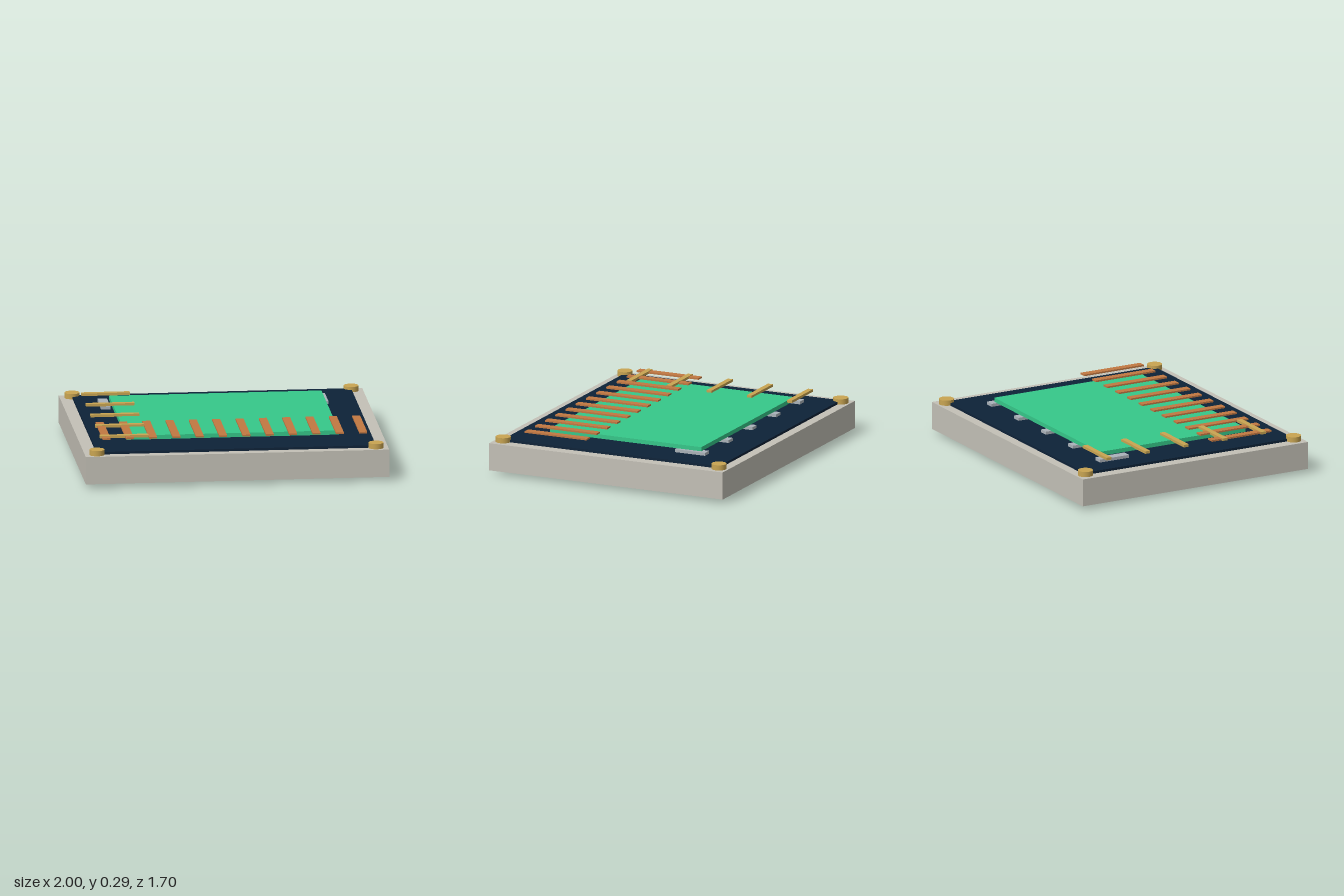
import * as THREE from 'three';

const mat = (name, color) => Object.assign(new THREE.MeshStandardMaterial({ color }), { name });

export function createModel() {
  const root = new THREE.Group();
  root.name = 'chipPackage';
  const stone = mat('warmGrey', 0xc4c1b7), navy = mat('navy', 0x0d2238), green = mat('green', 0x36c88a);
  const copper = mat('copper', 0xc27842), gold = mat('gold', 0xc9a552);
  const silver = mat('silver', 0xabb3ba), teal = mat('teal', 0x2aa9bd);

  const add = (name, geo, material, x, y, z, parent = root) => {
    const m = new THREE.Mesh(geo, material);
    m.name = name;
    m.position.set(x, y, z);
    parent.add(m);
    return m;
  };
  // box given by its x, y and z ranges
  const box = (name, material, x0, x1, y0, y1, z0, z1, parent) =>
    add(name, new THREE.BoxGeometry(x1 - x0, y1 - y0, z1 - z0), material,
      (x0 + x1) / 2, (y0 + y1) / 2, (z0 + z1) / 2, parent);
  const group = (name) => {
    const g = new THREE.Group();
    g.name = name;
    root.add(g);
    return g;
  };

  // stacked slabs
  box('base', stone, -1, 1, 0.026, 0.21, -0.85, 0.85);
  box('board', navy, -0.92, 0.92, 0.21, 0.226, -0.785, 0.785);
  box('die', green, -0.7, 0.7, 0.246, 0.274, -0.55, 0.55);

  // corner posts
  const postGeo = new THREE.CylinderGeometry(0.05, 0.05, 0.035, 20);
  for (const x of [-0.92, 0.92]) for (const z of [-0.785, 0.785])
    add('cornerPost', postGeo, gold, x, 0.2275, z);

  // spacers under the rear of the die
  const spacers = group('spacers');
  for (let i = 0; i < 5; i++) {
    const x = -0.74 + i * 0.359;
    box('spacer', silver, x - 0.031, x + 0.031, 0.226, 0.246, -0.59, -0.37, spacers);
  }

  // copper strips along the front
  const strips = group('copperStrips');
  for (let i = 0; i < 12; i++) {
    const x = -0.842 + i * 0.1538;
    box('copperStrip', copper, x - 0.026, x + 0.026, 0.274, 0.285, 0.2, 0.65, strips);
  }

  // gold strips along the right side
  const bars = group('goldStrips');
  for (let i = 0; i < 5; i++) {
    const z = -0.584 + i * 0.2915;
    box('goldStrip', gold, -0.88, -0.56, 0.272, 0.289, z - 0.018, z + 0.018, bars);
  }

  // contact pins: an outer ring, a gap, then an inner field
  const pins = group('pins');
  const pinGeo = new THREE.CylinderGeometry(0.019, 0.019, 0.026, 12);
  for (let c = 0; c < 13; c++) for (let r = 0; r < 9; r++) {
    if (Math.min(c, 12 - c, r, 8 - r) === 1) continue;
    add('pin', pinGeo, (c + r) % 8 === 5 ? copper : gold, -0.84 + c * 0.14, 0.013, -0.66 + r * 0.165, pins);
  }

  // index plates in opposite corners underneath
  for (const s of [-1, 1])
    add('indexPlate', new THREE.BoxGeometry(0.18, 0.014, 0.07), teal, s * 0.79, 0.019, s * 0.58);

  return root;
}
